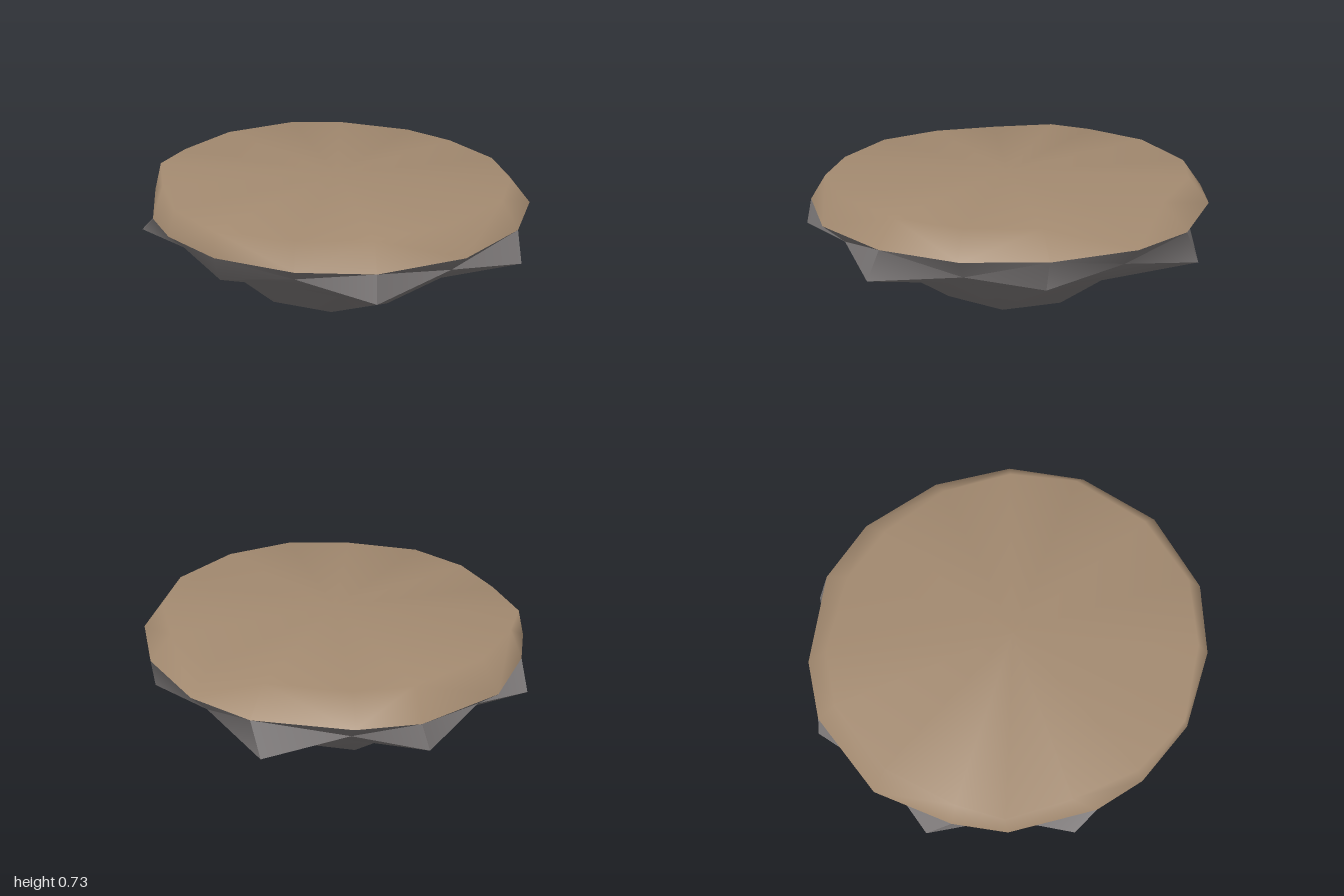
import * as THREE from 'three';
import { toCreasedNormals } from 'three/addons/utils/BufferGeometryUtils.js';

const N = 16;

// Irregular outline of the island rim, [x, z] per corner
const rim = [
  [0.97, 0.23], [0.79, 0.62], [0.51, 0.84], [0.13, 0.96],
  [-0.22, 0.93], [-0.46, 0.83], [-0.79, 0.55], [-0.91, 0.31],
  [-1.0, -0.08], [-0.87, -0.52], [-0.67, -0.74], [-0.26, -0.95],
  [0.08, -0.96], [0.48, -0.81], [0.78, -0.55], [0.95, -0.2],
];

// Edge of the flat ground, inset from the rim
const ground = [
  [0.87, 0.22], [0.73, 0.57], [0.47, 0.79], [0.11, 0.94],
  [-0.22, 0.89], [-0.51, 0.72], [-0.77, 0.52], [-0.85, 0.29],
  [-0.9, -0.07], [-0.79, -0.46], [-0.6, -0.66], [-0.23, -0.82],
  [0.07, -0.82], [0.43, -0.71], [0.7, -0.49], [0.86, -0.19],
];

// Jagged ledge under the rim: notches alternate with spurs, [x, y, z]
const ledge = [
  [0.87, 0.5, 0.2], [0.81, 0.46, 0.64], [0.44, 0.51, 0.77], [0.12, 0.46, 0.92],
  [-0.2, 0.51, 0.86], [-0.59, 0.48, 0.8], [-0.74, 0.52, 0.49], [-1.0, 0.46, 0.22],
  [-0.9, 0.5, -0.08], [-0.91, 0.46, -0.51], [-0.6, 0.5, -0.67], [-0.33, 0.43, -0.97],
  [0.07, 0.5, -0.87], [0.48, 0.46, -0.79], [0.72, 0.5, -0.51], [1.0, 0.45, -0.17],
];

// Eight-sided ring, with the middle of each side as an extra corner; tilted along z
function octagon(radius, y, cx, cz, tilt) {
  return rim.map((_, i) => {
    const a = (i + 1) * Math.PI / 8;
    const r = i % 2 ? radius : radius * Math.cos(Math.PI / 8);
    const z = r * Math.sin(a);
    return [cx + r * Math.cos(a), y + tilt * z, cz + z];
  });
}

// Skin through rings listed from top to bottom, with an optional top and bottom point
function loft(rings, top, bottom) {
  const points = rings.flat();
  const index = [];
  const last = (rings.length - 1) * N;
  for (let i = 0; i < N; i++) {
    const j = (i + 1) % N;
    for (let k = 0; k < last; k += N) {
      const [a, b, c, d] = [k + i, k + j, k + N + j, k + N + i];
      // The diagonal starts at the odd upper corner, so spurs stay narrow
      if (i % 2) index.push(a, b, c, a, c, d);
      else index.push(a, b, d, b, c, d);
    }
    if (top) index.push(rings.length * N, j, i);
    if (bottom) index.push(rings.length * N + (top ? 1 : 0), last + i, last + j);
  }
  if (top) points.push(top);
  if (bottom) points.push(bottom);
  const geometry = new THREE.BufferGeometry();
  geometry.setAttribute('position', new THREE.Float32BufferAttribute(points.flat(), 3));
  geometry.setIndex(index);
  geometry.computeVertexNormals();
  return geometry;
}

function part(name, geometry, color) {
  const mesh = new THREE.Mesh(geometry, new THREE.MeshStandardMaterial({ color, side: THREE.DoubleSide }));
  mesh.name = name;
  return mesh;
}

export function createModel() {
  const group = new THREE.Group();
  group.name = 'floatingIsland';

  const rimRing = rim.map(([x, z]) => [x, 0.588 + 0.008 * x - 0.008 * z, z]);
  const groundRing = ground.map(([x, z]) => [x, 0.71 + 0.02 * x * x - 0.012 * Math.max(z, 0), z]);

  // Earth cap: nearly flat ground with a sloping rim
  group.add(part('earthCap', loft([groundRing, rimRing], [0, 0.712, 0.02]), 0xa38a70));

  // Rock underside: jagged ledge below the rim, narrowing to a blunt point
  const rock = loft([
    rimRing,
    ledge,
    octagon(0.68, 0.345, 0, 0.02, 0.02),
    octagon(0.4, 0.12, -0.03, 0.05, 0.05),
  ], null, [-0.06, 0, 0.05]);
  group.add(part('rockUnderside', toCreasedNormals(rock, 0.9), 0x7c7878));

  return group;
}
